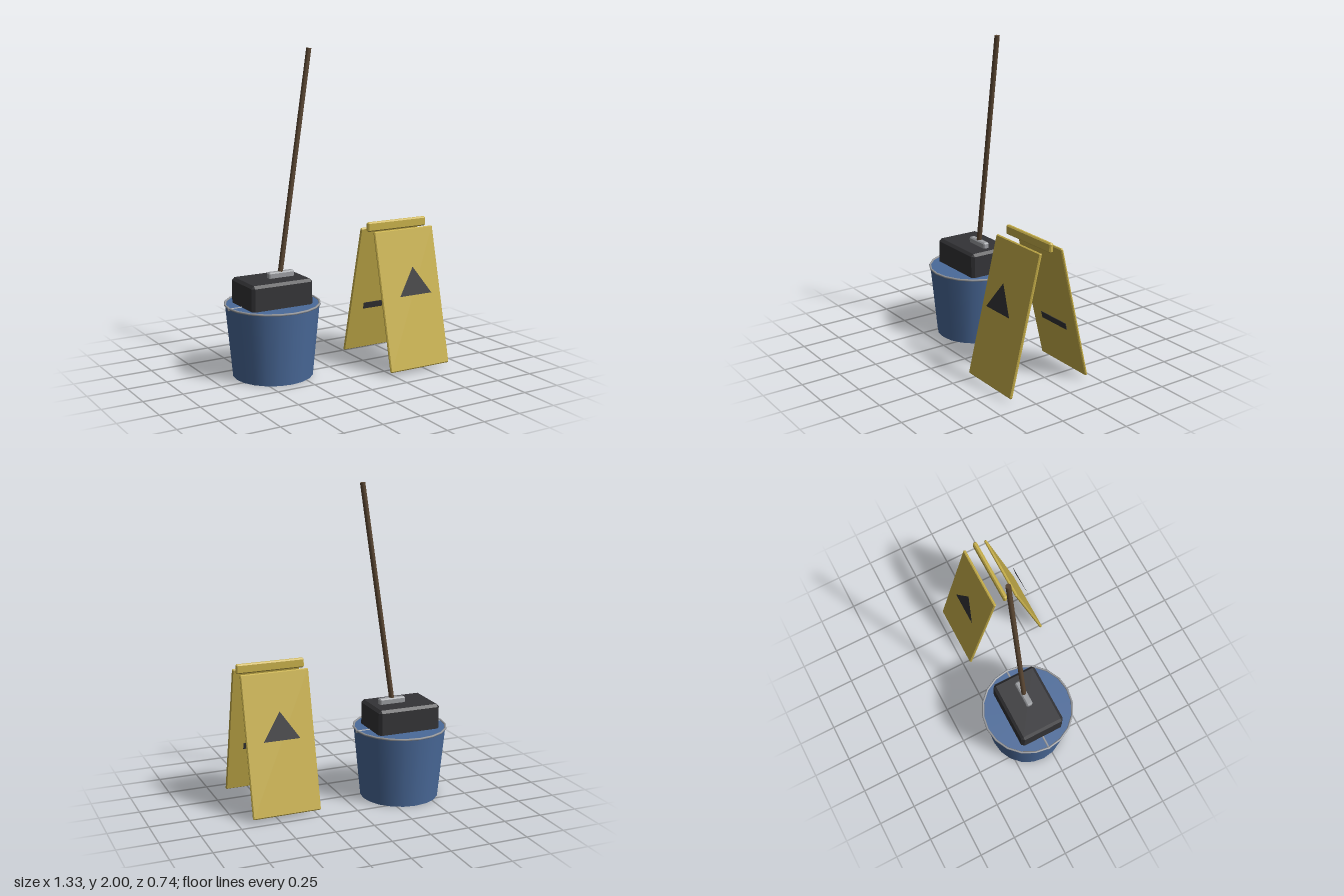
import * as THREE from 'three';
import { ConvexGeometry } from 'three/addons/geometries/ConvexGeometry.js';

const mat = (color, opts = {}) => new THREE.MeshStandardMaterial({ color, ...opts });

// Box with every edge cut at 45 degrees
function chamferBox(w, h, d, c) {
  const x = w / 2, y = h / 2, z = d / 2, pts = [];
  for (const sx of [-1, 1]) for (const sy of [-1, 1]) for (const sz of [-1, 1]) {
    pts.push(
      new THREE.Vector3(sx * x, sy * (y - c), sz * (z - c)),
      new THREE.Vector3(sx * (x - c), sy * y, sz * (z - c)),
      new THREE.Vector3(sx * (x - c), sy * (y - c), sz * z)
    );
  }
  return new ConvexGeometry(pts);
}

function add(parent, name, geometry, material, x = 0, y = 0, z = 0) {
  const mesh = new THREE.Mesh(geometry, material);
  mesh.name = name;
  mesh.position.set(x, y, z);
  parent.add(mesh);
  return mesh;
}

export function createModel() {
  const model = new THREE.Group();
  model.name = 'mopBucketAndFloorSign';
  const blue = mat(0x4a6a9a), metal = mat(0x9a9ca0), dark = mat(0x333336);
  const wood = mat(0x5a4632), yellow = mat(0xc8b04a);
  const darkSheet = mat(0x333336, { side: THREE.DoubleSide });

  // Bucket with rim and cross rod
  const bucket = new THREE.Group();
  bucket.name = 'bucket';
  bucket.position.set(-0.366, 0, -0.07);
  model.add(bucket);
  add(bucket, 'bucketBody', new THREE.CylinderGeometry(0.292, 0.249, 0.452, 20), blue, 0, 0.226, 0);
  const rim = add(bucket, 'bucketRim', new THREE.TorusGeometry(0.293, 0.007, 6, 20), metal, 0, 0.453, 0);
  rim.rotation.x = Math.PI / 2;
  const rod = add(bucket, 'bucketRod', new THREE.CylinderGeometry(0.008, 0.008, 0.6, 8), metal, 0, 0.448, 0);
  rod.rotation.z = Math.PI / 2;

  // Mop: wringer block, clamp and leaning handle
  const mop = new THREE.Group();
  mop.name = 'mop';
  model.add(mop);
  add(mop, 'wringerBlock', chamferBox(0.415, 0.19, 0.3, 0.017), dark, -0.367, 0.515, -0.07);
  add(mop, 'handleClamp', chamferBox(0.175, 0.05, 0.042, 0.008), metal, -0.308, 0.621, -0.07);
  const from = new THREE.Vector3(-0.315, 0.6, -0.07), to = new THREE.Vector3(-0.103, 1.998, -0.07);
  const dir = to.clone().sub(from);
  const handle = add(mop, 'mopHandle', new THREE.CylinderGeometry(0.016, 0.016, dir.length(), 10), wood);
  handle.position.copy(from).add(to).multiplyScalar(0.5);
  handle.quaternion.setFromUnitVectors(new THREE.Vector3(0, 1, 0), dir.normalize());

  // Folding floor sign: two leaning panels under a top bar
  const sign = new THREE.Group();
  sign.name = 'floorSign';
  sign.position.set(0.443, 0, 0.082);
  model.add(sign);
  add(sign, 'topBar', chamferBox(0.437, 0.06, 0.027, 0.008), yellow, 0, 0.891, 0);

  const triangle = new THREE.Shape([
    new THREE.Vector2(-0.117, -0.088), new THREE.Vector2(0.117, -0.088), new THREE.Vector2(0, 0.088),
  ]);
  for (const [side, turn, gap] of [['front', 0, 0.055], ['back', Math.PI, 0.034]]) {
    const half = new THREE.Group();
    half.name = side + 'Half';
    half.rotation.y = turn;
    sign.add(half);
    const leaf = new THREE.Group();
    leaf.name = side + 'Leaf';
    leaf.position.set(0, 0.448, 0.177);
    leaf.rotation.x = -0.237;
    half.add(leaf);
    add(leaf, side + 'Panel', chamferBox(0.437, 0.874, 0.018, 0.006), yellow);
    // Warning triangle stands off the outer face, bar sits on the inner face
    add(leaf, side + 'Triangle', new THREE.ShapeGeometry(triangle), darkSheet, 0, 0.108, gap);
    add(leaf, side + 'Bar', new THREE.BoxGeometry(0.24, 0.042, 0.004), dark, 0, -0.12, -0.013);
  }
  return model;
}
